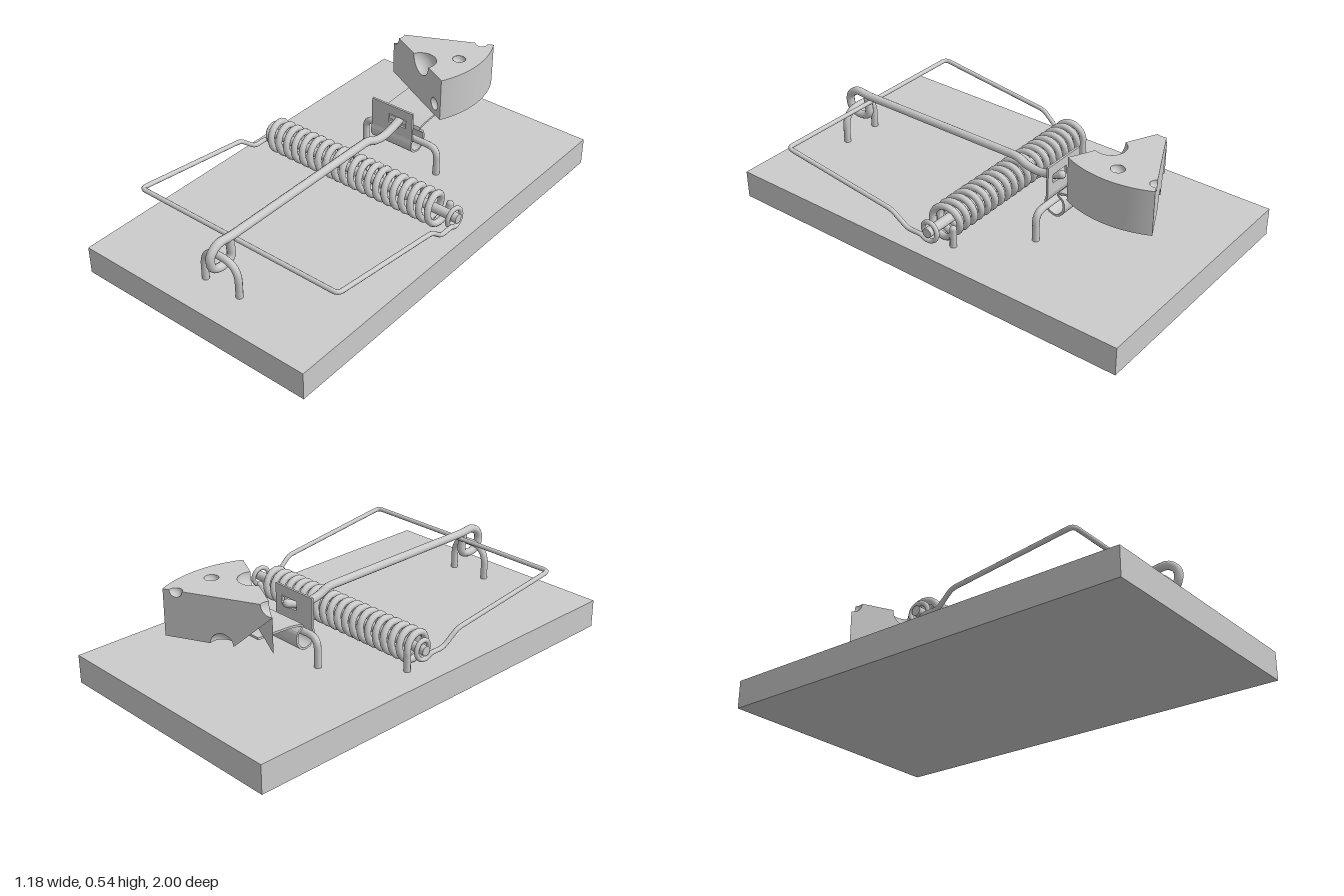
import * as THREE from 'three';

const V = (x, y, z) => new THREE.Vector3(x, y, z);
const grey = new THREE.MeshStandardMaterial({ color: 0xcccccc });
const sheet = new THREE.MeshStandardMaterial({ color: 0xcccccc, side: THREE.DoubleSide });

function add(parent, name, geometry, material = grey) {
  const mesh = new THREE.Mesh(geometry, material);
  mesh.name = name;
  parent.add(mesh);
  return mesh;
}

// Path of straight runs joined by rounded corners
function bentPath(points, bend) {
  const path = new THREE.CurvePath();
  let last = points[0];
  for (let i = 1; i < points.length - 1; i++) {
    const p = points[i];
    const cut = (q) => {
      const d = q.clone().sub(p);
      return p.clone().addScaledVector(d.clone().normalize(), Math.min(bend, d.length() * 0.48));
    };
    const a = cut(points[i - 1]), b = cut(points[i + 1]);
    path.add(new THREE.LineCurve3(last, a));
    path.add(new THREE.QuadraticBezierCurve3(a, p, b));
    last = b;
  }
  path.add(new THREE.LineCurve3(last, points[points.length - 1]));
  return path;
}

// Round wire with rounded ends
function wire(parent, name, curve, radius, step = 0.012) {
  const group = new THREE.Group();
  group.name = name;
  const segments = Math.ceil(curve.getLength() / step);
  add(group, name + 'Wire', new THREE.TubeGeometry(curve, segments, radius, 10));
  for (const t of [0, 1]) {
    add(group, name + 'End', new THREE.SphereGeometry(radius, 10, 8)).position.copy(curve.getPoint(t));
  }
  parent.add(group);
}

// Cheese wedge: tip at the origin, pointing along +x
function makeCheese() {
  const cheese = new THREE.Group();
  cheese.name = 'cheese';
  const R = 0.467, H = 0.205, a = 0.454, PI = Math.PI;
  const tip = 0.05;
  const big = { u: 0.272, r: 0.07 }, small = { u: 0.411, r: 0.028 }, low = { u: 0.22, r: 0.05 };
  const face = (parent, name, shape) => add(parent, name, new THREE.ShapeGeometry(shape, 20), sheet);
  const pit = (parent, x, y, r, phi, phiLen, theta, thetaLen) =>
    add(parent, 'cheeseHole', new THREE.SphereGeometry(r, 20, 14, phi, phiLen, theta, thetaLen), sheet)
      .position.set(x, y, 0);
  const circle = (x, y, r) => new THREE.Path().absarc(x, y, r, 0, 2 * PI, true);

  // Top face with bites along its edges and one round hole
  const top = new THREE.Shape();
  top.absarc(0, 0, tip, a, -a, true);
  top.absarc(big.u * Math.cos(a), -big.u * Math.sin(a), big.r, PI - a, -a, true);
  top.absarc(0, 0, R, -a, a, false);
  top.absarc(small.u * Math.cos(a), small.u * Math.sin(a), small.r, a, a - PI, true);
  top.holes.push(circle(0.37, 0, 0.03));
  const topMesh = face(cheese, 'cheeseTop', top);
  topMesh.rotation.x = -PI / 2;
  topMesh.position.y = H;

  // Bottom face
  const bottom = new THREE.Shape();
  bottom.moveTo(0, 0);
  bottom.absarc(0, 0, R, -a, a, false);
  bottom.absarc(low.u * Math.cos(a), low.u * Math.sin(a), low.r, a, a - PI, true);
  face(cheese, 'cheeseBottom', bottom).rotation.x = -PI / 2;

  // Front cut face
  const front = new THREE.Group();
  front.name = 'cheeseFrontCut';
  front.rotation.y = -a;
  const f = new THREE.Shape();
  f.moveTo(0, 0).lineTo(R, 0).lineTo(R, H);
  f.absarc(big.u, H, big.r, 0, -PI, true);
  f.absarc(0, H, tip, 0, -PI / 2, true);
  f.holes.push(circle(0.411, 0.055, 0.03));
  face(front, 'cheeseFrontFace', f);
  pit(front, big.u, H, big.r, PI, PI, PI / 2, PI / 2);
  pit(front, 0.411, 0.055, 0.03, PI, PI, 0, PI);

  // Back cut face
  const back = new THREE.Group();
  back.name = 'cheeseBackCut';
  back.rotation.y = a;
  const b = new THREE.Shape();
  b.moveTo(0, 0);
  b.absarc(low.u, 0, low.r, PI, 0, true);
  b.lineTo(R, 0).lineTo(R, H);
  b.absarc(small.u, H, small.r, 0, -PI, true);
  b.absarc(0, H, tip, 0, -PI / 2, true);
  face(back, 'cheeseBackFace', b);
  pit(back, low.u, 0, low.r, 0, PI, 0, PI / 2);
  pit(back, small.u, H, small.r, 0, PI, PI / 2, PI / 2);

  cheese.add(front, back);
  pit(cheese, 0, H, tip, PI - a, 2 * a, PI / 2, PI / 2);
  pit(cheese, 0.37, H, 0.03, 0, 2 * PI, PI / 2, PI / 2);
  add(cheese, 'cheeseRind', new THREE.CylinderGeometry(R, R, H, 24, 1, true, PI / 2 - a, 2 * a), sheet)
    .position.y = H / 2;
  cheese.position.set(-0.27, 0.335, -0.655);
  return cheese;
}

export function createModel() {
  const model = new THREE.Group();
  model.name = 'mousetrap';

  // Wooden board
  add(model, 'board', new THREE.BoxGeometry(1.18, 0.13, 2)).position.y = 0.065;

  // Spring coil around its rod
  const axisY = 0.215, axisZ = -0.04;
  const rod = add(model, 'springRod', new THREE.CylinderGeometry(0.022, 0.022, 1.06, 16));
  rod.rotation.z = Math.PI / 2;
  rod.position.set(0.02, axisY, axisZ);
  const turns = 20, coil = new THREE.Curve();
  coil.getPoint = (t, target = V(0, 0, 0)) => {
    const w = t * turns * Math.PI * 2;
    return target.set(-0.465 + 0.925 * t, axisY + 0.065 * Math.sin(w), axisZ - 0.065 * Math.cos(w));
  };
  coil.arcLengthDivisions = 1200;
  wire(model, 'springCoil', coil, 0.0155, 0.019);
  for (const x of [-0.465, 0.46]) {
    wire(model, 'springLeg', new THREE.LineCurve3(V(x, axisY, -0.105), V(x, 0.11, -0.105)), 0.0155, 0.1);
  }

  // Striking bail, its ends looped round the rod
  const half = (s) => {
    const pts = [V(0.02 + s * 0.53, 0.33, 0.748), V(0.02 + s * 0.53, 0.255, 0.15),
      V(0.02 + s * 0.522, 0.19, 0.07)];
    for (let i = 0; i <= 14; i++) {
      const w = 0.6 + i * 0.45;
      pts.push(V(0.02 + s * (0.522 - 0.0015 * i), axisY - 0.042 * Math.sin(w), axisZ + 0.042 * Math.cos(w)));
    }
    return pts;
  };
  wire(model, 'bail', bentPath([...half(-1).reverse(), ...half(1)], 0.025), 0.0105);

  // Staples that hold the arm and the trigger
  const staple = (name, x, z, w, top, bend) => wire(model, name, bentPath([
    V(x - w, 0.11, z), V(x - w, top, z), V(x + w, top, z), V(x + w, 0.11, z)], bend), 0.016);
  staple('frontStaple', 0.018, 0.83, 0.093, 0.288, 0.09);
  staple('backStaple', 0.015, -0.345, 0.2, 0.265, 0.05);

  // Locking arm, hooked round the front staple
  const armSide = [[0.775, 0.335], [0.765, 0.25], [0.83, 0.232], [0.882, 0.255], [0.89, 0.32],
    [0.84, 0.36], [0.77, 0.35], [-0.1, 0.35], [-0.145, 0.325], [-0.21, 0.315], [-0.27, 0.325], [-0.33, 0.347]];
  wire(model, 'lockingArm', bentPath(armSide.map(([z, y]) => V(0.018, y, z)), 0.03), 0.019);

  // Trigger: upright catch plate with a window
  const trigger = new THREE.Group();
  trigger.name = 'trigger';
  const rect = (s, x0, x1, y0, y1) => s.moveTo(x0, y0).lineTo(x1, y0).lineTo(x1, y1).lineTo(x0, y1).closePath();
  const plate = rect(new THREE.Shape(), -0.125, 0.1, 0.275, 0.413);
  plate.holes.push(rect(new THREE.Path(), -0.03, 0.065, 0.325, 0.367));
  add(trigger, 'catchPlate', new THREE.ExtrudeGeometry(plate, { depth: 0.01, bevelEnabled: false }))
    .position.z = -0.32;

  // Trigger: sheet curled round the back staple and run out under the cheese
  const strip = new THREE.CatmullRomCurve3([[-0.315, 0.277], [-0.308, 0.24], [-0.326, 0.21], [-0.37, 0.2],
    [-0.4, 0.235], [-0.396, 0.28], [-0.368, 0.305], [-0.42, 0.32], [-0.5, 0.326], [-0.61, 0.331]]
    .map(([z, y]) => V(-z, y, 0)));
  const edge = (side) => strip.getSpacedPoints(48).map((p, i) => {
    const t = strip.getTangentAt(i / 48);
    return new THREE.Vector2(p.x - t.y * side, p.y + t.x * side);
  });
  const outline = new THREE.Shape([...edge(-0.005), ...edge(0.005).reverse()]);
  const curl = add(trigger, 'baitTray', new THREE.ExtrudeGeometry(outline, { depth: 0.225, bevelEnabled: false }));
  curl.rotation.y = Math.PI / 2;
  curl.position.x = -0.125;
  model.add(trigger);

  model.add(makeCheese());
  return model;
}
